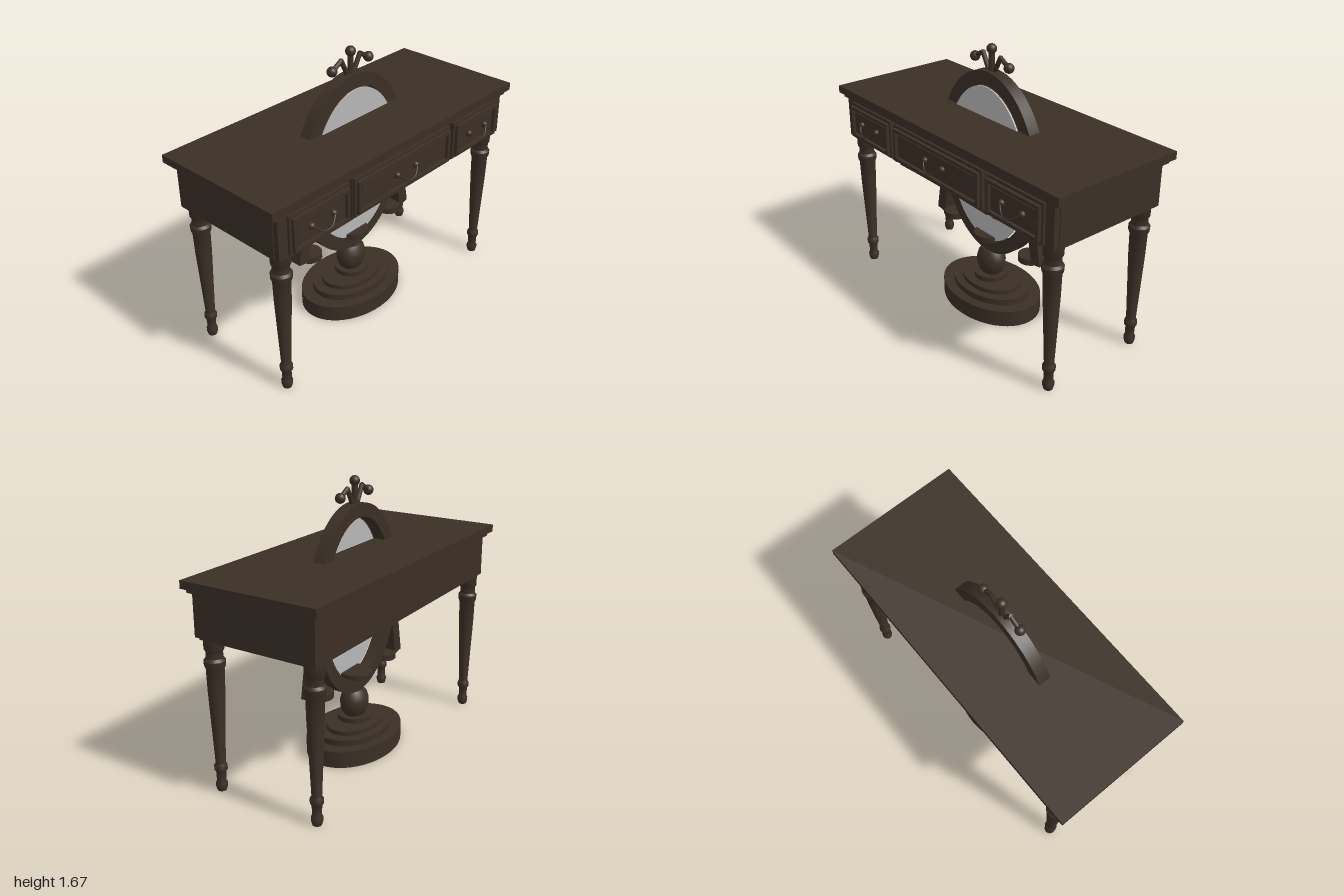
import * as THREE from 'three';
import { toCreasedNormals } from 'three/addons/utils/BufferGeometryUtils.js';

export function createModel() {
  const model = new THREE.Group();
  const wood = new THREE.MeshStandardMaterial({ color: 0x3a2f25 });
  wood.name = 'dark wood';
  const glass = new THREE.MeshStandardMaterial({ color: 0xb6b6b6 });
  glass.name = 'mirror glass';
  const CZ = -0.02; // depth of the mirror's centre line

  const add = (name, geo, x = 0, y = 0, z = 0, mat = wood, parent = model) => {
    const mesh = new THREE.Mesh(geo, mat);
    mesh.name = name;
    mesh.position.set(x, y, z);
    parent.add(mesh);
    return mesh;
  };
  // Box given by its limits on each axis
  const box = (name, x0, x1, y0, y1, z0, z1, parent = model) =>
    add(name, new THREE.BoxGeometry(x1 - x0, y1 - y0, z1 - z0),
      (x0 + x1) / 2, (y0 + y1) / 2, (z0 + z1) / 2, wood, parent);
  const turned = (points, sides = 32) => toCreasedNormals(
    new THREE.LatheGeometry(points.map(([r, y]) => new THREE.Vector2(r, y)), sides), 0.6);
  // Straight rod between two points
  const rod = (name, a, b, r) => {
    const m = add(name, new THREE.CylinderGeometry(r, r, a.distanceTo(b), 12));
    m.position.copy(a).add(b).multiplyScalar(0.5);
    m.quaternion.setFromUnitVectors(new THREE.Vector3(0, 1, 0), b.clone().sub(a).normalize());
  };
  const V = (x, y, z = CZ) => new THREE.Vector3(x, y, z);

  // Table top and the moulding beneath it
  box('tableTop', -1, 1, 1.195, 1.24, -0.445, 0.4);
  box('topMoulding', -0.975, 0.975, 1.17, 1.195, -0.42, 0.38);

  // Carcass: back apron, centre case and two side cases parted by narrow gaps
  box('backApron', -0.95, 0.95, 0.915, 1.17, -0.4, -0.37);
  box('centreCase', -0.415, 0.415, 0.915, 1.17, -0.37, 0.37);
  for (const s of [-1, 1]) {
    const c = s * 0.7;
    box('sideCase', c - 0.25, c + 0.25, 0.915, 1.17, -0.37, 0.335);
    box('sideFront', c - 0.245, c + 0.245, 0.92, 1.165, 0.335, 0.37);
    box('divider', s * 0.433 - 0.02, s * 0.433 + 0.02, 0.93, 1.16, 0.28, 0.34);
  }

  // Shaped valance below each drawer
  const valance = (cx, w, rise) => {
    const sh = new THREE.Shape();
    sh.moveTo(-w, 0.93);
    sh.lineTo(-w, 0.888);
    sh.quadraticCurveTo(0, 0.888 + rise, w, 0.888);
    sh.lineTo(w, 0.93);
    add('valance', new THREE.ExtrudeGeometry(sh, { depth: 0.03, bevelEnabled: false, curveSegments: 16 }),
      cx, 0, 0.32);
  };
  valance(0, 0.41, 0.012);
  valance(-0.64, 0.185, 0.04);
  valance(0.64, 0.185, 0.04);

  // Drawers: face plate, raised border, field panel, hanging handle
  const rect = (P, w, h) => {
    const p = new P();
    p.moveTo(-w, -h);
    p.lineTo(w, -h);
    p.lineTo(w, h);
    p.lineTo(-w, h);
    p.closePath();
    return p;
  };
  const drawer = (cx, w) => {
    const g = new THREE.Group();
    g.name = 'drawer';
    g.position.set(cx, 1.043, 0);
    model.add(g);
    box('drawerPlate', -w, w, -0.118, 0.118, 0.36, 0.385, g);
    const border = rect(THREE.Shape, w - 0.015, 0.1);
    border.holes.push(rect(THREE.Path, w - 0.035, 0.08));
    add('drawerBorder', new THREE.ExtrudeGeometry(border, { depth: 0.022, bevelEnabled: false }),
      0, 0, 0.383, wood, g);
    box('drawerPanel', -w + 0.048, w - 0.048, -0.067, 0.067, 0.38, 0.394, g);
    for (const s of [-1, 1]) add('handleKnob', new THREE.SphereGeometry(0.02, 16, 10), s * 0.08, 0.008, 0.4, wood, g);
    const curve = new THREE.CatmullRomCurve3([
      V(-0.08, 0.01, 0.412), V(-0.04, -0.026, 0.435), V(0, -0.036, 0.443),
      V(0.04, -0.026, 0.435), V(0.08, 0.01, 0.412)]);
    add('handleBail', new THREE.TubeGeometry(curve, 20, 0.005, 8), 0, 0, 0, wood, g);
  };
  drawer(0, 0.41);
  drawer(-0.666, 0.217);
  drawer(0.666, 0.217);

  // Turned tapering legs
  const leg = turned([[0, 0], [0.026, 0], [0.033, 0.025], [0.033, 0.045], [0.026, 0.06],
    [0.028, 0.115], [0.037, 0.13], [0.037, 0.155], [0.028, 0.17], [0.047, 0.6], [0.05, 0.735],
    [0.058, 0.755], [0.06, 0.785], [0.048, 0.8], [0.046, 0.835], [0.055, 0.85], [0.057, 0.93], [0, 0.93]], 24);
  for (const s of [-1, 1]) {
    add('frontLeg', leg, s * 0.877, 0, 0.303);
    add('backLeg', leg, s * 0.877, 0, -0.345);
  }

  // Oval mirror frame and glass
  const oval = (P, rx, ry) => {
    const p = new P();
    p.absellipse(0, 0, rx, ry, 0, Math.PI * 2, false, 0);
    return p;
  };
  const ring = oval(THREE.Shape, 0.432, 0.575);
  ring.holes.push(oval(THREE.Path, 0.354, 0.495));
  add('mirrorFrame', toCreasedNormals(new THREE.ExtrudeGeometry(ring,
    { depth: 0.075, bevelEnabled: false, curveSegments: 64 }), 0.6), 0, 0.935, -0.058);
  add('mirrorGlass', new THREE.ExtrudeGeometry(oval(THREE.Shape, 0.348, 0.487),
    { depth: 0.009, bevelEnabled: false, curveSegments: 64 }), 0, 0.935, 0.017, glass);

  // Crest: centre finial and two bent side sprigs ending in balls
  const ball = new THREE.SphereGeometry(0.03, 20, 14);
  rod('crestStem', V(0, 1.49), V(0, 1.63), 0.018);
  add('crestBall', ball, 0, 1.636, CZ);
  for (const s of [-1, 1]) {
    rod('crestSprig', V(s * 0.03, 1.515), V(s * 0.078, 1.605), 0.014);
    rod('crestSprig', V(s * 0.073, 1.603), V(s * 0.148, 1.56), 0.014);
    add('crestBall', ball, s * 0.148, 1.56, CZ);
  }

  // Slanted side arms with small round shelves
  for (const s of [-1, 1]) {
    const arm = box('mirrorArm', -0.037, 0.037, -0.235, 0.235, -0.047, 0.047);
    arm.position.set(s * 0.41, 0.695, CZ);
    arm.rotation.z = s * 0.18;
    add('armShelf', new THREE.CylinderGeometry(0.073, 0.073, 0.038, 28), s * 0.358, 0.464, CZ);
  }

  // Pedestal: stem, vase and stepped oval base
  add('cradleDisc', new THREE.CylinderGeometry(0.098, 0.098, 0.035, 32), 0, 0.468, CZ)
    .scale.z = 1.12;
  add('pedestalStem', new THREE.CylinderGeometry(0.043, 0.043, 0.13, 24), 0, 0.4, CZ);
  add('pedestalVase', turned([[0, 0.19], [0.06, 0.19], [0.085, 0.225], [0.097, 0.26], [0.098, 0.3],
    [0.086, 0.34], [0.065, 0.365], [0, 0.365]]), 0, 0, CZ).scale.z = 0.85;
  add('pedestalRing', new THREE.CylinderGeometry(0.105, 0.105, 0.03, 32), 0, 0.188, CZ);
  add('pedestalNeck', new THREE.CylinderGeometry(0.07, 0.07, 0.03, 32), 0, 0.17, CZ);
  for (const [r, y0, y1] of [[0.36, 0, 0.102], [0.28, 0.102, 0.14], [0.215, 0.14, 0.167]]) {
    add('baseTier', new THREE.CylinderGeometry(r, r, y1 - y0, 48), 0, (y0 + y1) / 2, CZ).scale.z = 0.72;
  }
  return model;
}
